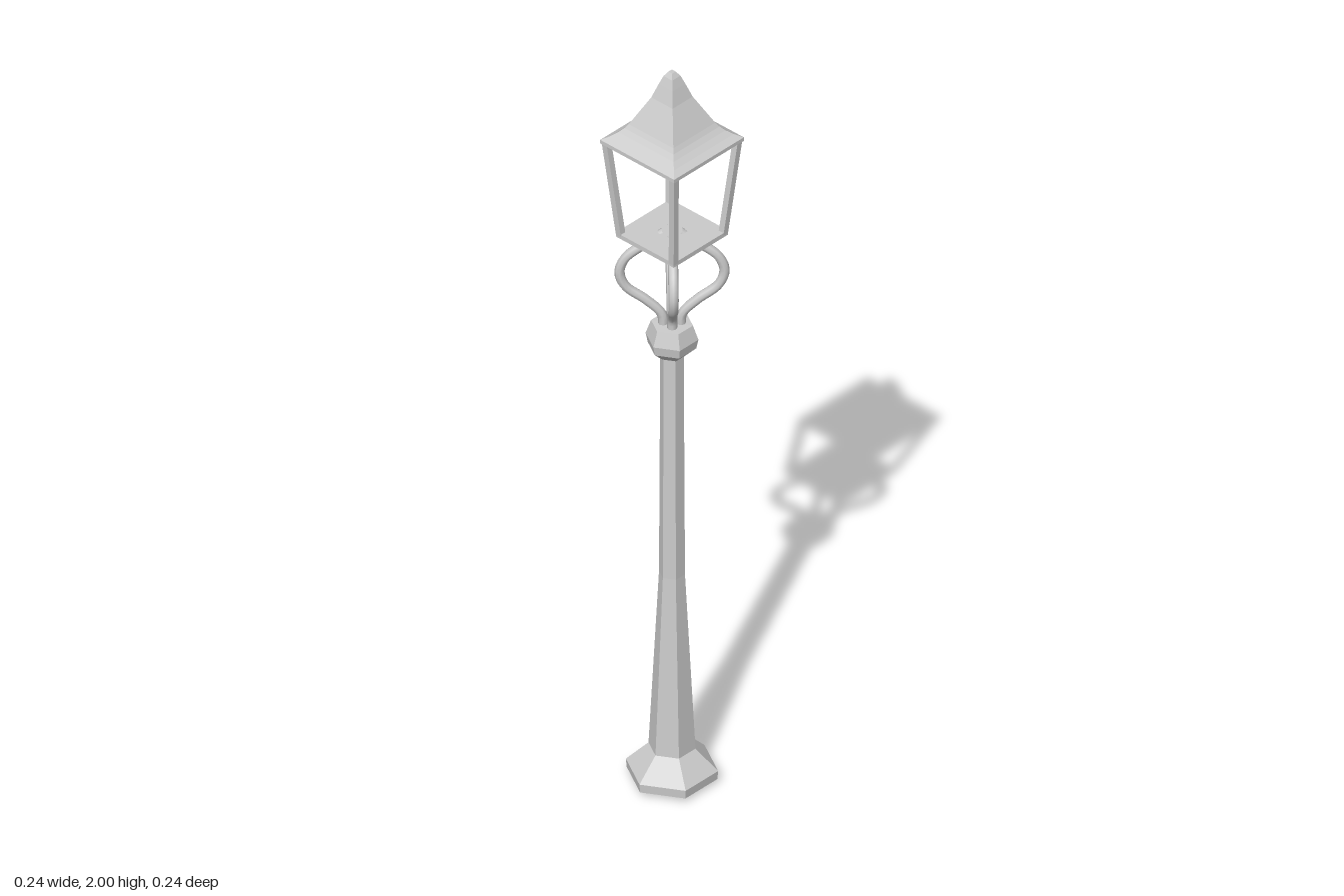
import * as THREE from 'three';

const metal = new THREE.MeshStandardMaterial({ color: 0xcccccc, flatShading: true });
const smoothMetal = new THREE.MeshStandardMaterial({ color: 0xcccccc });

// Faceted turning with a given number of sides, from [radius, height] pairs
function turned(profile, sides, startAngle) {
  const points = profile.map(([r, y]) => new THREE.Vector2(r, y));
  return new THREE.LatheGeometry(points, sides, startAngle);
}

export function createModel() {
  const group = new THREE.Group();
  const add = (name, geometry, material = metal) => {
    const mesh = new THREE.Mesh(geometry, material);
    mesh.name = name;
    group.add(mesh);
    return mesh;
  };

  // Hexagonal post with a flared foot and a slow taper
  add('post', turned([
    [0, 0], [0.108, 0.012], [0.11, 0.035], [0.056, 0.09],
    [0.031, 0.58], [0.028, 1.2], [0.028, 1.22],
  ], 6, Math.PI / 2));

  // Hexagonal collar at the head of the post
  add('collar', turned([
    [0, 1.2], [0.032, 1.2], [0.058, 1.225], [0.063, 1.25], [0.05, 1.288], [0, 1.29],
  ], 6, Math.PI / 2));

  // Four bowed rods on the diagonals carrying the lantern
  const bow = [[0.02, 1.275], [0.024, 1.315], [0.06, 1.355], [0.108, 1.395],
    [0.122, 1.435], [0.108, 1.475], [0.06, 1.515], [0.018, 1.545]];
  const bowCurve = new THREE.CatmullRomCurve3(bow.map(([r, y]) => new THREE.Vector3(r, y, 0)));
  for (let i = 0; i < 4; i++) {
    const rod = add('bowedRod', new THREE.TubeGeometry(bowCurve, 28, 0.012, 8), smoothMetal);
    rod.rotation.y = Math.PI / 4 + i * Math.PI / 2;
  }

  // Lantern floor
  const floor = add('lanternFloor', new THREE.BoxGeometry(0.184, 0.012, 0.184));
  floor.position.y = 1.541;

  // Four corner bars leaning outward
  const low = 1.54, high = 1.808, width = 0.016;
  for (const sx of [-1, 1]) {
    for (const sz of [-1, 1]) {
      const bar = new THREE.BoxGeometry(width, high - low, width);
      const pos = bar.attributes.position;
      for (let i = 0; i < pos.count; i++) {
        const offset = pos.getY(i) > 0 ? 0.108 : 0.084;
        pos.setX(i, pos.getX(i) + sx * offset);
        pos.setZ(i, pos.getZ(i) + sz * offset);
      }
      bar.translate(0, (low + high) / 2, 0);
      bar.computeVertexNormals();
      add('cornerBar', bar);
    }
  }

  // Square roof with a concave skirt, steep spire and blunt tip
  const roof = [[0, 1.8], [0.118, 1.8], [0.118, 1.81], [0.101, 1.82], [0.088, 1.831],
    [0.078, 1.842], [0.071, 1.853], [0.034, 1.928], [0.022, 1.965], [0.014, 1.988],
    [0.006, 2], [0, 2]];
  add('roof', turned(roof.map(([half, y]) => [half * Math.SQRT2, y]), 4, Math.PI / 4));

  return group;
}
